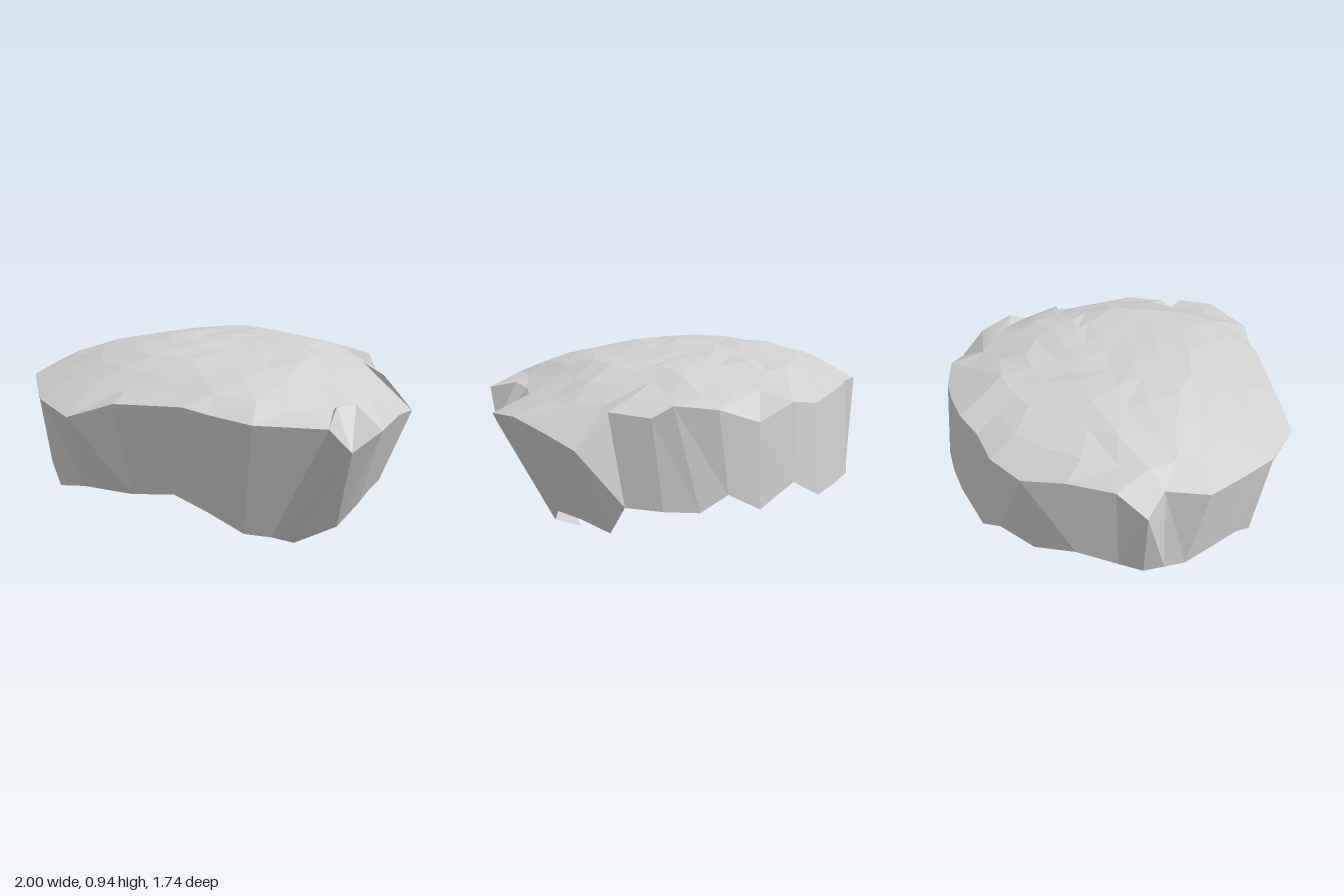
import * as THREE from 'three';

// Upper rim of the rock cap, running front -> -x -> back -> +x
const RIM = [
  .63, .74, .80, .30, .76, .865, .10, .775, .80, -.03, .80, .78, -.37, .78, .72, -.60, .70, .71,
  -.80, .72, .51, -.90, .73, .29, -.97, .74, .12, -.91, .766, -.08, -1, .705, -.19, -.86, .77, -.29,
  -.72, .767, -.48, -.59, .73, -.66, -.43, .76, -.76, -.25, .78, -.78, -.10, .80, -.83, .07, .79, -.84,
  .23, .77, -.83, .38, .80, -.78, .55, .73, -.69, .67, .795, -.55, .76, .81, -.37, .80, .75, -.28,
  .85, .765, -.08, 1, .61, 0, .96, .655, .20, .93, .70, .40, .86, .68, .59, .73, .595, .68,
];

// Ragged lower edge, one point under each rim point
const BASE = [
  .35, .08, .52, .24, .16, .68, .07, .25, .67, -.10, .33, .665, -.33, .28, .575, -.60, .275, .50,
  -.74, .25, .45, -.82, .33, .34, -.95, .34, .02, -.94, .335, -.08, -.93, .33, -.18, -.86, .34, -.28,
  -.74, .36, -.45, -.53, .25, -.60, -.43, .34, -.74, -.27, .24, -.80, -.10, .34, -.86, .07, .34, -.87,
  .25, .33, -.86, .41, .43, -.80, .57, .33, -.71, .67, .41, -.60, .75, .33, -.50, .82, .33, -.35,
  .86, .33, -.17, .85, .185, -.08, .80, .20, .12, .76, .20, .29, .66, .105, .39, .45, 0, .39,
];

const toPoints = (a) => Array.from({ length: a.length / 3 }, (_, i) => new THREE.Vector3().fromArray(a, i * 3));

function makeRandom(seed) {
  return () => (seed = (seed * 16807) % 2147483647) / 2147483647;
}

function facetedMesh(name, triangles, material) {
  const geometry = new THREE.BufferGeometry().setFromPoints(triangles);
  geometry.computeVertexNormals();
  const mesh = new THREE.Mesh(geometry, material);
  mesh.name = name;
  return mesh;
}

// Joins two closed rings that may have different point counts
function stitch(outer, inner, out) {
  let i = 0, j = 0;
  const n = outer.length, m = inner.length;
  while (i < n || j < m) {
    const o = outer[i % n], p = inner[j % m];
    if (j >= m || (i < n && (i + 1) / n <= (j + 1) / m)) {
      out.push(o, p, outer[++i % n]);
    } else {
      out.push(o, p, inner[++j % m]);
    }
  }
}

// Averages each ring point with its neighbours
function smoothRing(ring) {
  const n = ring.length;
  return ring.map((p, i) => p.clone().multiplyScalar(2)
    .add(ring[(i + 1) % n]).add(ring[(i + n - 1) % n]).multiplyScalar(0.25));
}

export function createModel() {
  const group = new THREE.Group();
  group.name = 'rockCap';
  const stone = new THREE.MeshStandardMaterial({ color: 0xd0d0d0 });
  stone.name = 'grey stone';
  stone.flatShading = true;
  stone.side = THREE.DoubleSide;

  const rim = toPoints(RIM), base = toPoints(BASE);
  const count = rim.length;

  // Side wall, open underneath, each panel split along its shorter diagonal
  const wall = [];
  for (let i = 0; i < count; i++) {
    const k = (i + 1) % count;
    if (rim[i].distanceTo(base[k]) < rim[k].distanceTo(base[i])) {
      wall.push(rim[i], rim[k], base[k], rim[i], base[k], base[i]);
    } else {
      wall.push(rim[i], rim[k], base[i], rim[k], base[k], base[i]);
    }
  }
  group.add(facetedMesh('rockWall', wall, stone));

  // Small chipped corner behind the rim, where the top rises to a point
  const chip = new THREE.Vector3(.65, .79, .61);
  const top = [rim[count - 1], chip, rim[0]];

  // Domed top: shrinking rings with slight unevenness
  const random = makeRandom(41);
  const jitter = (s) => (random() - 0.5) * s;
  const centre = new THREE.Vector3(0.05, 0.932, -0.03);
  const guide = smoothRing(smoothRing(rim));
  let outer = [...rim, chip];
  for (const [t, n] of [[.85, 28], [.68, 23], [.51, 18], [.34, 12], [.17, 6]]) {
    const ring = [];
    for (let j = 0; j < n; j++) {
      const f = (j / n) * count, i = Math.floor(f);
      const edge = guide[i].clone().lerp(guide[(i + 1) % count], f - i);
      const p = centre.clone().lerp(edge, t);
      p.y = edge.y + (centre.y - edge.y) * (1 - t ** 2.9) + jitter(0.018);
      p.x += jitter(0.04);
      p.z += jitter(0.04);
      ring.push(p);
    }
    stitch(outer, ring, top);
    outer = ring;
  }
  stitch(outer, [centre], top);
  group.add(facetedMesh('rockTop', top, stone));

  return group;
}
